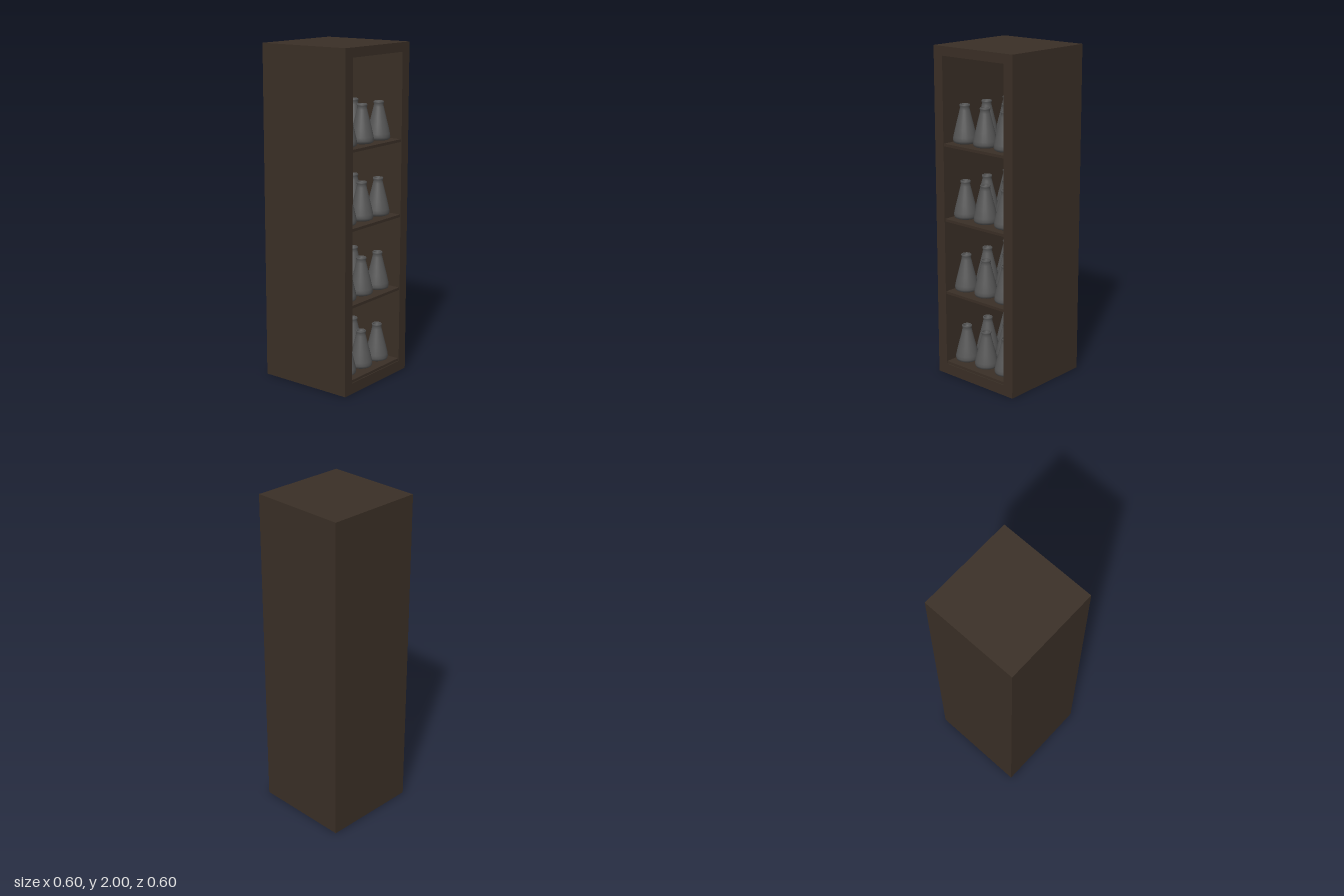
import * as THREE from 'three';

const wood = new THREE.MeshStandardMaterial({ color: 0x3a2f26 });
const clay = new THREE.MeshStandardMaterial({ color: 0x565656, side: THREE.DoubleSide });

export function createModel() {
  const group = new THREE.Group();
  group.name = 'bottleCabinet';

  const addBox = (name, x0, x1, y0, y1, z0, z1) => {
    const mesh = new THREE.Mesh(new THREE.BoxGeometry(x1 - x0, y1 - y0, z1 - z0), wood);
    mesh.position.set((x0 + x1) / 2, (y0 + y1) / 2, (z0 + z1) / 2);
    mesh.name = name;
    group.add(mesh);
  };

  // Case: a rectangular tube open to the front, closed by a back panel
  const half = 0.3, inner = 0.233, backZ = -0.235;
  const outline = new THREE.Shape([
    new THREE.Vector2(-half, 0), new THREE.Vector2(half, 0),
    new THREE.Vector2(half, 2), new THREE.Vector2(-half, 2),
  ]);
  outline.holes.push(new THREE.Path([
    new THREE.Vector2(-inner, 0.065), new THREE.Vector2(-inner, 1.945),
    new THREE.Vector2(inner, 1.945), new THREE.Vector2(inner, 0.065),
  ]));
  const caseGeometry = new THREE.ExtrudeGeometry(outline, { depth: 2 * half, bevelEnabled: false });
  caseGeometry.translate(0, 0, -half);
  const cabinetCase = new THREE.Mesh(caseGeometry, wood);
  cabinetCase.name = 'cabinetCase';
  group.add(cabinetCase);
  addBox('backPanel', -inner, inner, 0.065, 1.945, -half, backZ);

  // Bottle profile: rounded foot, tapering body, small lip and hollow neck
  const profile = [
    [0, 0], [0.056, 0], [0.066, 0.005], [0.07, 0.018], [0.068, 0.037], [0.057, 0.085],
    [0.043, 0.14], [0.03, 0.193], [0.027, 0.207], [0.03, 0.215],
    [0.031, 0.222], [0.027, 0.226], [0.021, 0.222], [0.021, 0.195], [0, 0.185],
  ].map(([r, y]) => new THREE.Vector2(r, y));
  const bottleGeometry = new THREE.LatheGeometry(profile, 24);

  // Four shelves, each carrying three rows of three bottles
  for (let tier = 0; tier < 4; tier++) {
    const y = 0.065 + tier * 0.452;
    addBox('shelf', -inner, inner, y, y + 0.016, backZ, 0.295);
    for (const x of [-0.166, -0.006, 0.154]) {
      for (const z of [0.19, 0.005, -0.18]) {
        const bottle = new THREE.Mesh(bottleGeometry, clay);
        bottle.position.set(x, y + 0.016, z);
        bottle.name = 'bottle';
        group.add(bottle);
      }
    }
  }
  return group;
}
